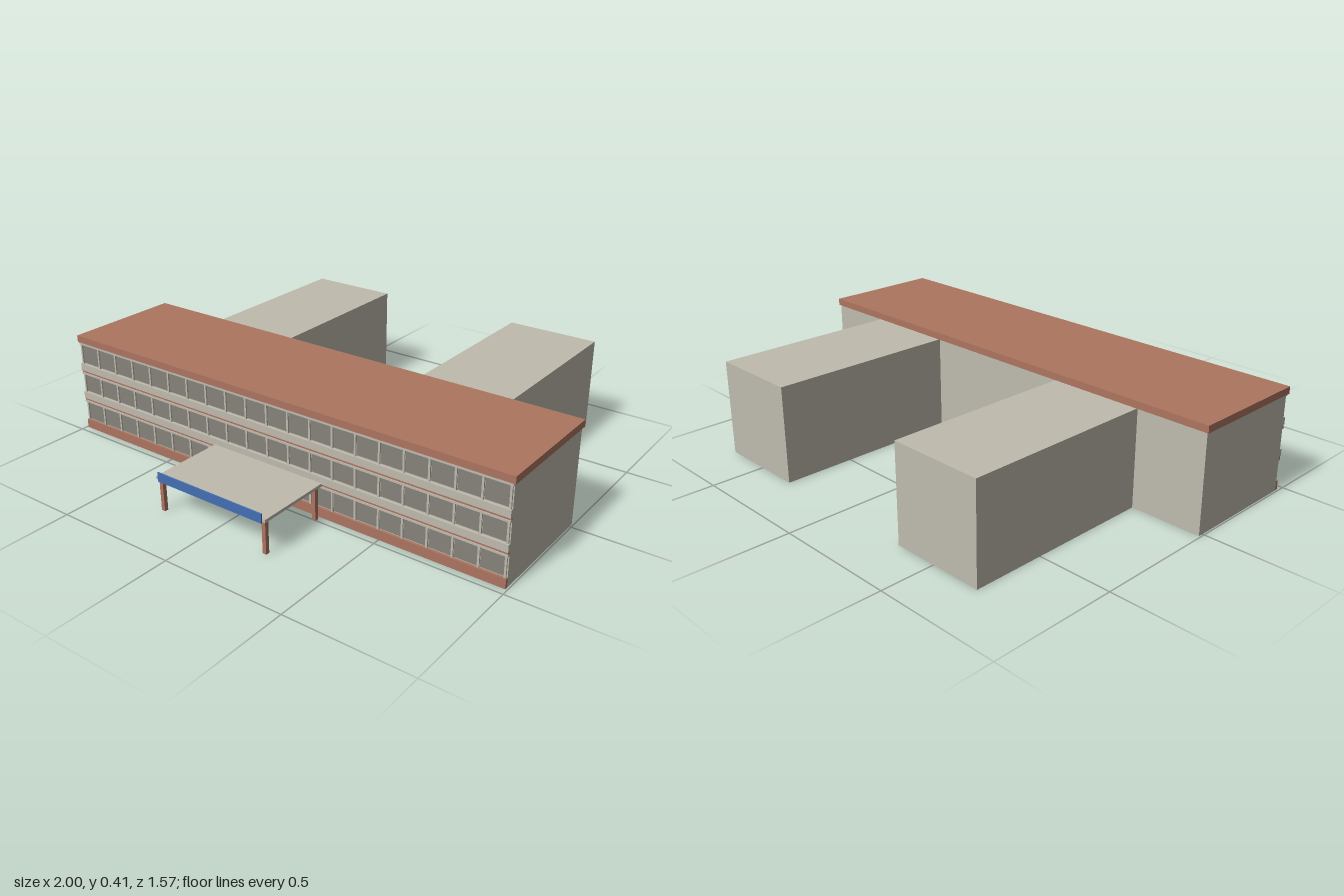
import * as THREE from 'three';

const material = (name, color) => {
  const m = new THREE.MeshStandardMaterial({ color });
  m.name = name;
  return m;
};

export function createModel() {
  const wall = material('cream wall', 0xbfbbae);
  const brick = material('terracotta', 0xad7560);
  const glass = material('grey glass', 0x85837b);
  const blue = material('blue sign', 0x4470b4);
  const model = new THREE.Group();
  model.name = 'building';

  // Box given by its lower and upper limits on each axis
  const box = (name, mat, [x0, x1], [y0, y1], [z0, z1], parent = model) => {
    const mesh = new THREE.Mesh(new THREE.BoxGeometry(x1 - x0, y1 - y0, z1 - z0), mat);
    mesh.position.set((x0 + x1) / 2, (y0 + y1) / 2, (z0 + z1) / 2);
    mesh.name = name;
    parent.add(mesh);
  };
  const full = [-0.993, 0.993];

  // Main block, roof slab and rear wings
  box('mainBlock', wall, full, [0, 0.385], [-0.02, 0.462]);
  box('roof', brick, [-1, 1], [0.385, 0.413], [-0.025, 0.471]);
  box('wingRight', wall, [-0.705, -0.325], [0, 0.385], [-0.785, -0.02]);
  box('wingLeft', wall, [0.32, 0.7], [0, 0.385], [-0.785, -0.02]);

  // Front bands: plinth, spandrels with a terracotta sill line, top trim
  box('plinth', brick, full, [0, 0.038], [0.462, 0.472]);
  for (const y of [0.124, 0.25]) {
    box('spandrelLip', wall, full, [y - 0.004, y + 0.004], [0.462, 0.472]);
    box('sillLine', brick, full, [y + 0.004, y + 0.013], [0.462, 0.469]);
    box('spandrel', wall, full, [y + 0.013, y + 0.042], [0.462, 0.473]);
  }
  box('topTrim', wall, full, [0.376, 0.385], [0.462, 0.47]);

  // Three window rows, twenty bays each
  const bays = 20, pitch = 1.97 / bays;
  for (const [y0, y1] of [[0.038, 0.12], [0.166, 0.246], [0.292, 0.376]]) {
    const row = new THREE.Group();
    row.name = 'windowRow';
    model.add(row);
    for (let i = 0; i < bays; i++) {
      const x = -0.985 + pitch * i;
      box('pane', glass, [x + 0.006, x + pitch - 0.006], [y0 + 0.004, y1 - 0.004], [0.462, 0.464], row);
    }
    for (let i = 0; i <= bays; i++) {
      const x = -0.985 + pitch * i;
      box('mullion', wall, [x - 0.004, x + 0.004], [y0, y1], [0.462, 0.468], row);
    }
  }

  // Entrance canopy with posts and sign board
  const canopy = new THREE.Group();
  canopy.name = 'entranceCanopy';
  model.add(canopy);
  box('canopySlab', wall, [-0.255, 0.255], [0.13, 0.142], [0.462, 0.781], canopy);
  for (const x of [-0.24, 0.24]) for (const z of [0.495, 0.765])
    box('post', brick, [x - 0.008, x + 0.008], [0, 0.13], [z - 0.008, z + 0.008], canopy);
  box('signBoard', blue, [-0.242, 0.242], [0.126, 0.163], [0.781, 0.786], canopy);

  return model;
}
